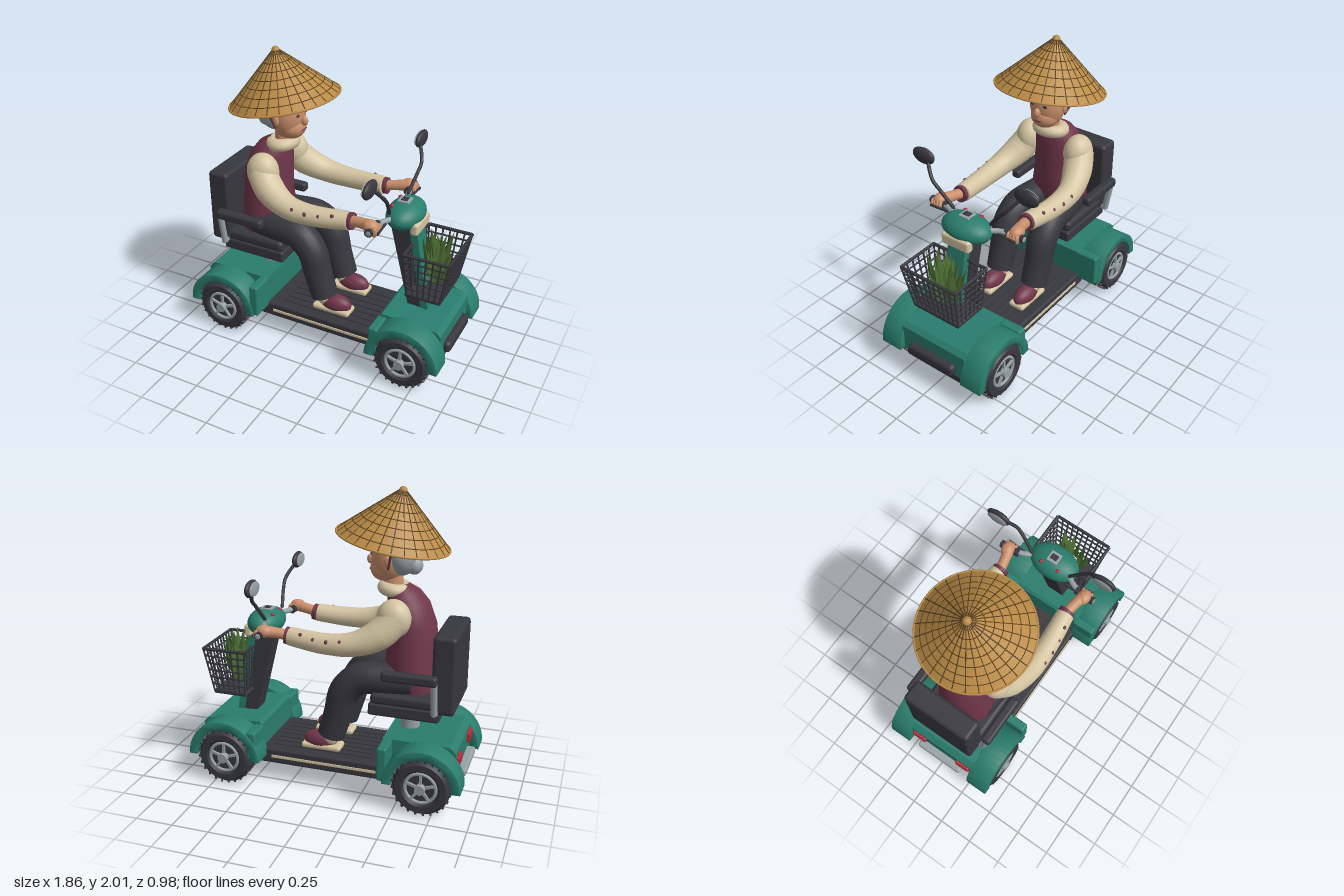
import * as THREE from 'three';
import { mergeGeometries, toCreasedNormals } from 'three/addons/utils/BufferGeometryUtils.js';
import { RoundedBoxGeometry } from 'three/addons/geometries/RoundedBoxGeometry.js';

const V = (x, y, z) => new THREE.Vector3(x, y, z);
const paint = (name, color, side = THREE.FrontSide) => {
  const m = new THREE.MeshStandardMaterial({ color, side });
  m.name = name;
  return m;
};

export function createModel() {
  const root = new THREE.Group();
  root.name = 'scooterWithRider';
  const green = paint('teal green', 0x2a7d6d), dark = paint('charcoal', 0x37373e), maroon = paint('maroon', 0x70364a),
    cream = paint('cream', 0xd4c5a2), skin = paint('skin', 0xc98f6c), straw = paint('straw', 0xb98a45, THREE.DoubleSide),
    weave = paint('dark straw', 0x604520), grey = paint('grey', 0x98a2a5), red = paint('red', 0xb32b38), leaf = paint('leaf green', 0x4d6e33);

  // Helpers
  const add = (name, geo, mat, p = [0, 0, 0], r = [0, 0, 0], s = [1, 1, 1], parent = root) => {
    const m = new THREE.Mesh(geo, mat);
    m.name = name;
    m.position.set(...p); m.rotation.set(...r); m.scale.set(...s);
    parent.add(m);
    return m;
  };
  const box = (name, mat, x0, x1, y0, y1, z0, z1, r = 0.015) =>
    add(name, r ? new RoundedBoxGeometry(x1 - x0, y1 - y0, z1 - z0, 2, r) : new THREE.BoxGeometry(x1 - x0, y1 - y0, z1 - z0),
      mat, [(x0 + x1) / 2, (y0 + y1) / 2, (z0 + z1) / 2]);
  const ball = (name, mat, p, s, r) => add(name, new THREE.SphereGeometry(1, 28, 20), mat, p, r, s);
  const barGeo = (a, b, r, n = 6) => {
    const d = b.clone().sub(a);
    const g = new THREE.CylinderGeometry(r, r, d.length(), n);
    g.applyQuaternion(new THREE.Quaternion().setFromUnitVectors(V(0, 1, 0), d.normalize()));
    return g.translate(...a.clone().add(b).multiplyScalar(0.5).toArray());
  };
  const slab = (name, mat, pts, z0, z1) => {
    const g = new THREE.ExtrudeGeometry(new THREE.Shape(pts.map(p => new THREE.Vector2(...p))), { depth: z1 - z0, bevelEnabled: false });
    return add(name, g, mat, [0, 0, z0]);
  };
  // Tapered tube with closed ends
  const limb = (name, mat, pts, radii, n = 40, k = 20) => {
    const curve = new THREE.CatmullRomCurve3(pts.map(p => V(...p)));
    const g = new THREE.TubeGeometry(curve, n, 1, k), pos = g.attributes.position, v = V();
    for (let i = 0; i <= n; i++) {
      const c = curve.getPointAt(i / n), f = i / n * (radii.length - 1), j = Math.min(Math.floor(f), radii.length - 2);
      const r = i === 0 || i === n ? 0 : THREE.MathUtils.lerp(radii[j], radii[j + 1], f - j);
      for (let q = 0; q <= k; q++) {
        const id = i * (k + 1) + q;
        v.fromBufferAttribute(pos, id).sub(c).multiplyScalar(r).add(c);
        pos.setXYZ(id, v.x, v.y, v.z);
      }
    }
    return add(name, toCreasedNormals(g, 0.9), mat);
  };

  // Wheels and fenders
  const tyre = toCreasedNormals(new THREE.LatheGeometry([[0.11, -0.07], [0.125, -0.085], [0.165, -0.085], [0.187, -0.055], [0.187, 0.055],
    [0.165, 0.085], [0.125, 0.085], [0.11, 0.07]].map(p => new THREE.Vector2(...p)), 40), 0.7).rotateX(Math.PI / 2);
  for (const cx of [-0.68, 0.67]) for (const s of [1, -1]) {
    const w = new THREE.Group();
    w.name = 'wheel';
    w.position.set(cx, 0.195, s * 0.335);
    root.add(w);
    const put = (n, g, m, p, r, sc) => add(n, g, m, p, r, sc, w);
    put('tyre', tyre, dark);
    put('wheelDisc', new THREE.CylinderGeometry(0.115, 0.115, 0.13, 32), dark, [0, 0, 0], [Math.PI / 2, 0, 0]);
    put('rim', new THREE.TorusGeometry(0.1, 0.011, 8, 36), grey, [0, 0, s * 0.07]);
    put('hub', new THREE.CylinderGeometry(0.033, 0.033, 0.06, 20), grey, [0, 0, s * 0.075], [Math.PI / 2, 0, 0]);
    for (let i = 0; i < 5; i++) {
      const a = Math.PI / 2 + i * Math.PI * 0.4;
      put('spoke', new THREE.BoxGeometry(0.08, 0.017, 0.02), grey, [Math.cos(a) * 0.06, Math.sin(a) * 0.06, s * 0.07], [0, 0, a]);
    }
    const lugs = [];
    for (let i = 0; i < 24; i++) for (const e of [-1, 1])
      lugs.push(new THREE.BoxGeometry(0.012, 0.024, 0.06).rotateY(e * 0.4).translate(0, 0.181, e * 0.042).rotateZ((i + e / 4) * Math.PI / 12));
    put('treadLugs', mergeGeometries(lugs), dark);
    const arch = new THREE.Shape();
    arch.absarc(0, 0, 0.247, 0, Math.PI, false);
    arch.absarc(0, 0, 0.2, Math.PI, 0, true);
    put('fender', toCreasedNormals(new THREE.ExtrudeGeometry(arch, { depth: 0.15, bevelSize: 0.006, bevelThickness: 0.008, bevelSegments: 2, curveSegments: 28 }), 0.6),
      green, [0, 0, -0.075]);
    const e = cx < 0 ? -0.455 : 0.44;
    box('fenderSkirt', green, e, e + 0.065, 0.2, cx < 0 ? 0.43 : 0.4, s > 0 ? 0.24 : -0.41, s > 0 ? 0.41 : -0.24);
  }

  // Body shells, deck and bumpers
  slab('rearBody', green, [[-0.87, 0.2], [-0.39, 0.2], [-0.39, 0.43], [-0.83, 0.43], [-0.87, 0.39]], -0.26, 0.26);
  slab('frontBody', green, [[0.45, 0.19], [0.88, 0.19], [0.88, 0.37], [0.85, 0.4], [0.47, 0.42], [0.45, 0.4]], -0.26, 0.26);
  box('chassis', dark, -0.85, 0.87, 0.12, 0.2, -0.25, 0.25);
  box('deck', dark, -0.45, 0.5, 0.13, 0.235, -0.27, 0.27);
  for (let i = 0; i < 7; i++) box('deckRib', dark, -0.3, 0.4, 0.23, 0.243, -0.19 + i * 0.06, -0.16 + i * 0.06, 0.004);
  for (const s of [1, -1]) box('sillStrip', cream, -0.35, 0.38, 0.176, 0.193, s * 0.273 - 0.004, s * 0.273 + 0.004, 0);
  box('frontBumper', dark, 0.86, 0.925, 0.2, 0.285, -0.19, 0.19, 0.03);
  box('rearBumper', grey, -0.925, -0.86, 0.2, 0.25, -0.18, 0.18);
  for (const s of [1, -1]) box('tailLight', red, -0.89, -0.86, 0.29, 0.36, s * 0.185 - 0.055, s * 0.185 + 0.055, 0.01);

  // Seat
  add('seatPost', new THREE.CylinderGeometry(0.065, 0.065, 0.16, 28), grey, [-0.51, 0.5, 0]);
  box('seatBase', dark, -0.745, -0.28, 0.57, 0.65, -0.24, 0.24);
  box('seatCushion', dark, -0.72, -0.29, 0.64, 0.72, -0.235, 0.235, 0.03);
  box('backrest', dark, -0.84, -0.69, 0.63, 1.145, -0.245, 0.245, 0.025);
  for (const s of [1, -1]) {
    box('armrest', dark, -0.74, -0.385, 0.845, 0.91, s * 0.3 - 0.033, s * 0.3 + 0.033, 0.02);
    add('armrestPost', barGeo(V(-0.72, 0.64, s * 0.265), V(-0.72, 0.86, s * 0.3), 0.022, 12), grey);
    add('armrestBracket', barGeo(V(-0.72, 0.65, s * 0.22), V(-0.72, 0.65, s * 0.28), 0.02, 10), grey);
  }

  // Steering column, dashboard and handlebar
  slab('steeringColumn', dark, [[0.575, 0.39], [0.68, 0.39], [0.57, 1.02], [0.42, 1.02]], -0.065, 0.065);
  slab('columnCover', green, [[0.665, 0.39], [0.715, 0.39], [0.6, 1.02], [0.55, 1.02]], -0.068, 0.068);
  ball('steeringHead', green, [0.505, 1.055, 0], [0.12, 0.09, 0.18]);
  box('headlight', cream, 0.575, 0.63, 0.96, 1.045, -0.11, 0.11, 0.02);
  box('dashPanel', grey, 0.455, 0.535, 1.135, 1.15, -0.04, 0.04, 0.004);
  box('dashScreen', dark, 0.475, 0.515, 1.148, 1.153, -0.025, 0.025, 0);
  for (const s of [1, -1]) {
    ball('dashButton', red, [0.435, 1.12, s * 0.065], [0.014, 0.012, 0.014]);
    limb('handlebar', grey, [[0.5, 1.07, s * 0.1], [0.43, 1.07, s * 0.21], [0.41, 1.068, s * 0.38]], [0.018, 0.018]);
    add('grip', barGeo(V(0.413, 1.069, s * 0.23), V(0.41, 1.068, s * 0.37), 0.026, 16), dark);
    add('brakeLever', barGeo(V(0.45, 1.06, s * 0.2), V(0.46, 1.06, s * 0.34), 0.009, 8), dark);
    limb('mirrorArm', dark, [[0.45, 1.1, s * 0.14], [0.475, 1.22, s * 0.235], [0.48, 1.28, s * 0.29], [0.43, 1.38, s * 0.37]], [0.012, 0.012], 24, 10);
    ball('mirrorShell', dark, [0.43, 1.39, s * 0.4], [0.027, 0.056, 0.088]);
    ball('mirrorGlass', grey, [0.408, 1.39, s * 0.4], [0.009, 0.046, 0.074]);
  }

  // Basket and leafy greens
  const corner = (u, v, t) => V(THREE.MathUtils.lerp(THREE.MathUtils.lerp(0.605, 0.83, u), THREE.MathUtils.lerp(0.585, 0.885, u), t),
    0.57 + 0.31 * t, (v * 2 - 1) * (0.18 + 0.035 * t));
  const wires = [];
  for (let i = 0; i <= 6; i++) {
    const t = i / 6, r = i === 6 ? 0.011 : 0.006, c = [[0, 0], [1, 0], [1, 1], [0, 1]];
    c.forEach((a, j) => wires.push(barGeo(corner(...a, t), corner(...c[(j + 1) % 4], t), r)));
  }
  for (let i = 0; i <= 10; i++) for (const u of [0, 1]) wires.push(barGeo(corner(u, i / 10, 0), corner(u, i / 10, 1), 0.006));
  for (let i = 0; i <= 6; i++) for (const v of [0, 1]) wires.push(barGeo(corner(i / 6, v, 0), corner(i / 6, v, 1), 0.006));
  add('basketWires', mergeGeometries(wires), dark);
  box('basketFloor', dark, 0.59, 0.835, 0.55, 0.58, -0.185, 0.185, 0.01);
  for (let i = 0; i < 22; i++) {
    const a = i * 2.4, d = 0.25 + 0.75 * (i / 22), h = 0.17 - 0.035 * d + 0.02 * Math.sin(i * 5);
    const b = add('leaf', new THREE.OctahedronGeometry(1), leaf, [0.725 + Math.cos(a) * d * 0.075, 0.61 + h, Math.sin(a) * d * 0.12],
      [Math.sin(a) * d * 0.3, 0, -Math.cos(a) * d * 0.25], [0.036, h + 0.02, 0.012]);
    b.rotateY(a);
  }

  // Torso: stacked ellipses [centre x, y, half depth, half width]
  const rings = [[-0.55, 0.7, 0.001, 0.001], [-0.55, 0.7, 0.14, 0.18], [-0.53, 0.78, 0.16, 0.2], [-0.51, 0.9, 0.172, 0.195], [-0.51, 1.02, 0.165, 0.18],
    [-0.5, 1.15, 0.16, 0.175], [-0.475, 1.28, 0.135, 0.165], [-0.45, 1.35, 0.105, 0.12], [-0.42, 1.4, 0.05, 0.06]];
  const trunk = new THREE.CylinderGeometry(1, 1, 1, 32, rings.length - 1, true), tp = trunk.attributes.position;
  for (let i = 0; i < tp.count; i++) {
    const [cx, y, rx, rz] = rings[rings.length - 1 - Math.floor(i / 33)];
    tp.setXYZ(i, cx + tp.getX(i) * rx, y, tp.getZ(i) * rz);
  }
  add('vest', toCreasedNormals(trunk, 0.9), maroon);
  add('vestSeam', barGeo(V(-0.343, 1.13, 0), V(-0.348, 1.24, 0), 0.004), dark);
  add('collar', new THREE.TorusGeometry(0.07, 0.042, 14, 30), cream, [-0.385, 1.365, 0], [Math.PI / 2, 0.1, 0], [1, 1.15, 1]);

  // Arms, legs and shoes
  for (const s of [1, -1]) {
    ball('shoulder', cream, [-0.43, 1.22, s * 0.195], [0.11, 0.125, 0.095]);
    limb('sleeve', cream, [[-0.45, 1.23, s * 0.19], [-0.36, 1.13, s * 0.24], [-0.21, 1.06, s * 0.285], [-0.02, 1.042, s * 0.29], [0.25, 1.06, s * 0.265]],
      [0.1, 0.098, 0.08, 0.07, 0.065, 0.06]);
    add('cuff', barGeo(V(0.235, 1.059, s * 0.265), V(0.26, 1.062, s * 0.266), 0.056, 20), maroon);
    limb('wrist', skin, [[0.24, 1.062, s * 0.265], [0.32, 1.075, s * 0.28], [0.4, 1.085, s * 0.3]], [0.035, 0.035, 0.04], 16);
    ball('hand', skin, [0.395, 1.085, s * 0.305], [0.055, 0.042, 0.045]);
    for (let i = 0; i < 4; i++) ball('finger', skin, [0.435, 1.067, s * (0.272 + i * 0.022)], [0.022, 0.034, 0.012]);
    for (let i = 0; i < 6; i++) {
      const x = -0.31 + i * 0.09, y = [1.1, 1.085, 1.08, 1.07, 1.07, 1.09][i], z = [0.318, 0.343, 0.348, 0.347, 0.336, 0.319][i];
      ball('sleeveFlower', maroon, [x, y, s * z], [0.014, 0.017, 0.011]);
    }
    limb('trouserLeg', dark, [[-0.56, 0.785, s * 0.1], [-0.36, 0.785, s * 0.125], [-0.2, 0.775, s * 0.14], [-0.1, 0.68, s * 0.15], [-0.055, 0.52, s * 0.15], [0.0, 0.335, s * 0.15]],
      [0.1, 0.105, 0.107, 0.104, 0.1, 0.095, 0.092]);
    box('shoeSole', cream, -0.08, 0.195, 0.243, 0.283, s * 0.14 - 0.06, s * 0.14 + 0.06, 0.018);
    ball('shoe', maroon, [0.075, 0.3, s * 0.14], [0.115, 0.068, 0.062]);
    ball('ankle', cream, [0.0, 0.33, s * 0.145], [0.06, 0.06, 0.05]);
  }

  // Head and face
  add('neck', new THREE.CylinderGeometry(0.062, 0.07, 0.14, 24), skin, [-0.37, 1.42, 0]);
  ball('head', skin, [-0.345, 1.57, 0], [0.115, 0.17, 0.12]);
  ball('jaw', skin, [-0.318, 1.49, 0], [0.095, 0.085, 0.096]);
  ball('nose', skin, [-0.224, 1.54, 0], [0.026, 0.033, 0.021]);
  ball('mouth', maroon, [-0.228, 1.482, 0], [0.01, 0.007, 0.032]);
  ball('hair', grey, [-0.43, 1.58, 0], [0.1, 0.13, 0.125]);
  ball('hairBun', grey, [-0.505, 1.52, 0], [0.055, 0.06, 0.06]);
  for (const s of [1, -1]) {
    ball('eye', dark, [-0.243, 1.588, s * 0.048], [0.009, 0.011, 0.014]);
    ball('eyebrow', grey, [-0.243, 1.622, s * 0.05], [0.01, 0.006, 0.024], [s * 0.2, 0, 0]);
    ball('ear', skin, [-0.365, 1.555, s * 0.122], [0.024, 0.037, 0.014]);
    limb('hatCord', maroon, [[-0.4, 1.67, s * 0.185], [-0.39, 1.6, s * 0.155], [-0.365, 1.5, s * 0.115]], [0.008, 0.008], 14, 8);
  }

  // Conical hat with woven lines
  const hat = new THREE.Group();
  hat.name = 'hat';
  hat.position.set(-0.365, 1.672, 0);
  hat.rotation.z = 0.182;
  root.add(hat);
  const R = 0.362, H = 0.335, lines = [];
  add('hatCone', new THREE.ConeGeometry(R, H, 48, 1, true), straw, [0, H / 2, 0], undefined, undefined, hat);
  for (let i = 0; i < 28; i++) {
    const a = i * Math.PI / 14;
    lines.push(barGeo(V(0, H, 0), V(Math.cos(a) * R, 0, Math.sin(a) * R), 0.0035, 4));
  }
  for (let i = 1; i <= 7; i++)
    lines.push(new THREE.TorusGeometry(R * i / 8, 0.0035, 4, 48).rotateX(Math.PI / 2).translate(0, H * (1 - i / 8), 0));
  add('hatWeave', mergeGeometries(lines), weave, undefined, undefined, undefined, hat);
  add('hatRim', new THREE.TorusGeometry(R, 0.007, 8, 48), straw, [0, 0, 0], [Math.PI / 2, 0, 0], undefined, hat);
  add('hatTip', new THREE.SphereGeometry(0.027, 18, 12), straw, [0, H - 0.022, 0], undefined, undefined, hat);
  return root;
}
